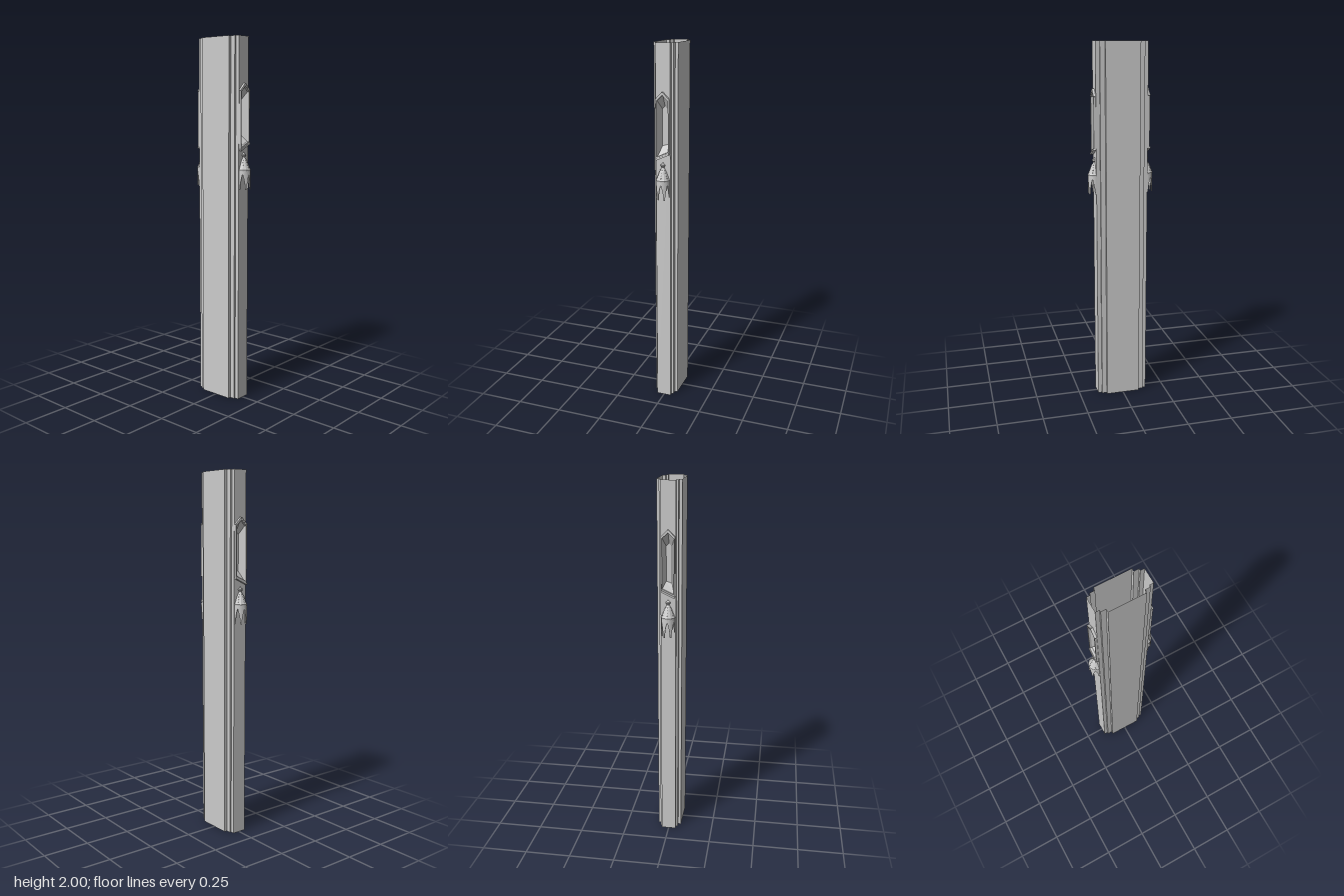
import * as THREE from 'three';

const mat = new THREE.MeshStandardMaterial({ color: 0xcccccc, side: THREE.DoubleSide, flatShading: true });
const FACE_Z = 0.143; // plane of the narrow front face
const AXIS_Z = 0.145; // axis of the canopy

function add(parent, name, geometry, x = 0, y = 0, z = 0) {
  const mesh = new THREE.Mesh(geometry, mat);
  mesh.name = name;
  mesh.position.set(x, y, z);
  parent.add(mesh);
  return mesh;
}

// Surface between two rows of points; closed rows wrap around
function loft(a, b, closed) {
  const pos = [];
  const n = a.length;
  for (let i = 0; i < (closed ? n : n - 1); i++) {
    const j = (i + 1) % n;
    pos.push(...a[i], ...a[j], ...b[j], ...a[i], ...b[j], ...b[i]);
  }
  const g = new THREE.BufferGeometry();
  g.setAttribute('position', new THREE.Float32BufferAttribute(pos, 3));
  g.computeVertexNormals();
  return g;
}

const toShape = (pts) => new THREE.Shape(pts.map(([x, y]) => new THREE.Vector2(x, y)));

// Niche outlines: outer frame, opening and recessed back panel
const frameOuter = [[-0.037, 1.405], [0.037, 1.44], [0.037, 1.715], [0, 1.752], [-0.037, 1.715]];
const opening = [[-0.031, 1.418], [0.031, 1.447], [0.031, 1.71], [0, 1.74], [-0.031, 1.71]];
const backPanel = [[-0.015, 1.47], [0.015, 1.48], [0.015, 1.665], [0, 1.68], [-0.015, 1.665]];

function buildNiche(parent) {
  const niche = new THREE.Group();
  niche.name = 'niche';
  parent.add(niche);

  // Raised frame with a pointed head
  const frame = toShape(frameOuter);
  frame.holes.push(toShape(opening));
  add(niche, 'nicheFrame', new THREE.ExtrudeGeometry(frame, { depth: 0.012, bevelEnabled: false }), 0, 0, FACE_Z);

  // Splayed reveal and back panel
  const at = (pts, z) => pts.map(([x, y]) => [x, y, z]);
  add(niche, 'nicheReveal', loft(at(opening, FACE_Z), at(backPanel, 0.11), true));
  add(niche, 'nicheBack', new THREE.ShapeGeometry(toShape(backPanel)), 0, 0, 0.11);

  // Slanted sill
  const sill = add(niche, 'nicheSill', new THREE.BoxGeometry(0.08, 0.009, 0.017), 0, 1.42, 0.1515);
  sill.rotation.z = Math.atan2(0.035, 0.074);

  // Hood over the pointed head
  for (const s of [-1, 1]) {
    const hood = add(niche, 'nicheHood', new THREE.BoxGeometry(0.053, 0.006, 0.013), s * 0.0185, 1.735, 0.1495);
    hood.rotation.z = -s * Math.PI / 4;
  }
}

function buildCanopy(parent) {
  const canopy = new THREE.Group();
  canopy.name = 'canopy';
  canopy.position.z = AXIS_Z;
  parent.add(canopy);
  const ARCHES = 6;
  const v = (x, y) => new THREE.Vector2(x, y);

  // Round wall whose lower edge rises into six pointed arches
  const wall = new THREE.LatheGeometry(
    [v(0.032, 1.19), v(0.037, 1.19), v(0.036, 1.292), v(0.032, 1.292), v(0.032, 1.19)], 120);
  const p = wall.attributes.position;
  for (let i = 0; i < p.count; i++) {
    if (p.getY(i) > 1.2) continue;
    const turn = Math.atan2(p.getX(i), p.getZ(i)) / (2 * Math.PI) * ARCHES;
    const t = Math.abs(turn - Math.round(turn)) / 0.4;
    if (t < 1) p.setY(i, 1.19 + 0.085 * Math.pow(1 - t, 0.6));
  }
  wall.computeVertexNormals();
  add(canopy, 'canopyArches', wall);

  // Cornice, faceted roof, neck and flared finial
  add(canopy, 'canopyRoof', new THREE.LatheGeometry([
    v(0, 1.288), v(0.037, 1.288), v(0.038, 1.296), v(0.034, 1.302), v(0.027, 1.32),
    v(0.018, 1.343), v(0.009, 1.357), v(0.007, 1.364), v(0.013, 1.372), v(0.012, 1.378),
    v(0.006, 1.382), v(0, 1.39)], 12));

  // Knobs climbing the roof ribs
  const knob = new THREE.IcosahedronGeometry(0.0026, 0);
  for (let i = 0; i < ARCHES; i++) {
    const a = i / ARCHES * Math.PI * 2;
    for (let k = 0; k < 4; k++) {
      const r = 0.032 - k * 0.006;
      add(canopy, 'roofKnob', knob, Math.sin(a) * r, 1.308 + k * 0.0135, Math.cos(a) * r);
    }
  }
}

export function createModel() {
  const model = new THREE.Group();
  model.name = 'pillar';

  // Stepped sides of the hollow shaft, open at top and bottom
  const half = [[0.04, FACE_Z], [0.04, 0.122], [0.05, 0.122], [0.05, 0.095], [0.066, 0.095]];
  const profile = [...half, ...half.map(([x, z]) => [x, -z]).reverse()];
  for (const s of [-1, 1]) {
    const row = (y) => profile.map(([x, z]) => [s * x, y, z]);
    add(model, s > 0 ? 'leftSide' : 'rightSide', s > 0 ? loft(row(2), row(0)) : loft(row(0), row(2)));
  }

  // Narrow faces with their ornaments, mirrored front to back
  for (const s of [1, -1]) {
    const end = new THREE.Group();
    end.name = s > 0 ? 'frontFace' : 'backFace';
    end.scale.z = s;
    const face = toShape([[-0.04, 0], [0.04, 0], [0.04, 2], [-0.04, 2]]);
    face.holes.push(toShape(opening));
    add(end, 'shaftFace', new THREE.ShapeGeometry(face), 0, 0, FACE_Z);
    buildNiche(end);
    buildCanopy(end);
    model.add(end);
  }
  return model;
}
